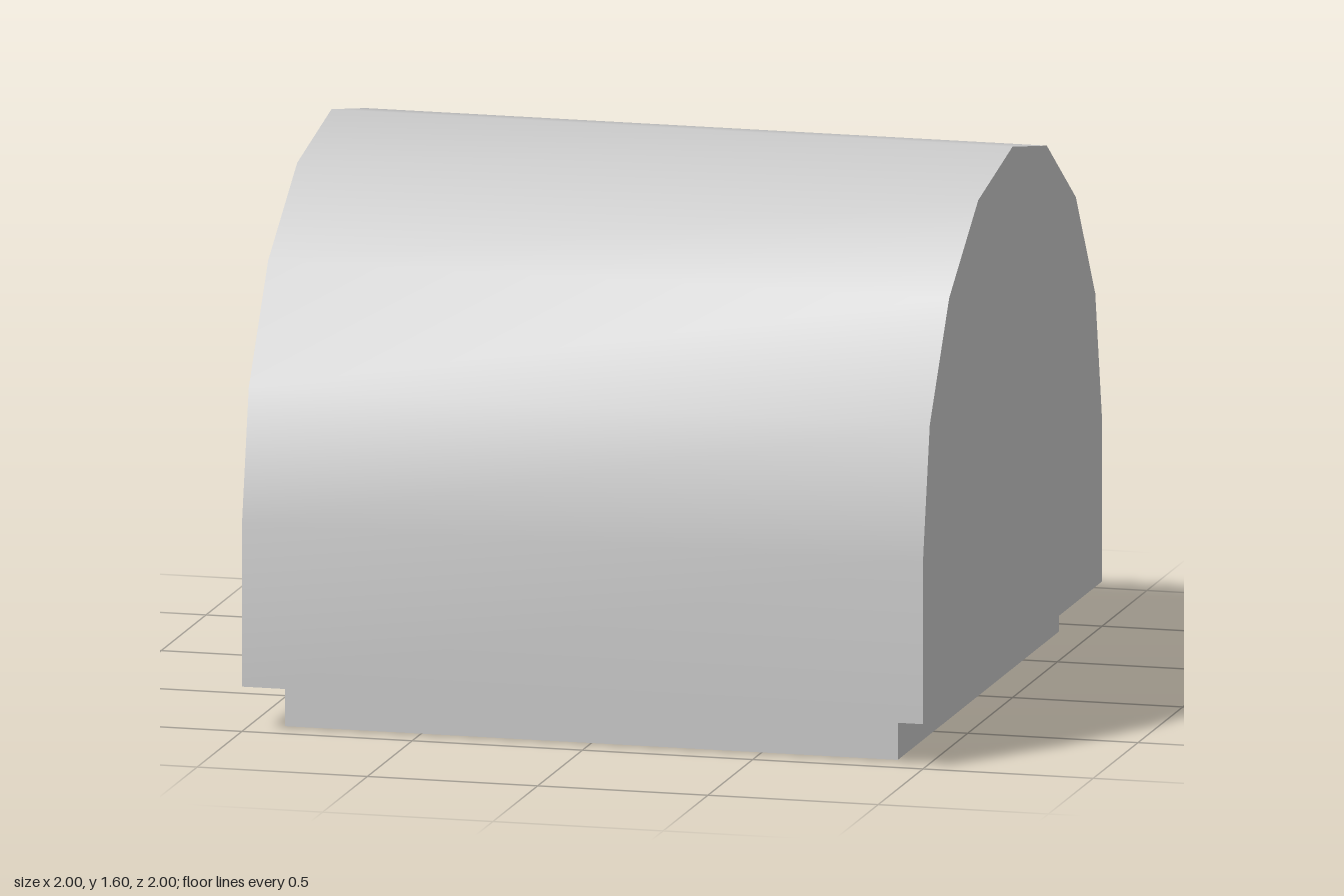
import * as THREE from 'three';
import { toCreasedNormals } from 'three/addons/utils/BufferGeometryUtils.js';

const BASE_HEIGHT = 0.13;
const SPRING_HEIGHT = 0.6; // where the straight walls meet the arch
const ARCH_SEGMENTS = 8;

export function createModel() {
  const group = new THREE.Group();
  const material = new THREE.MeshStandardMaterial({ color: 0xcccccc });

  // Vaulted body: straight walls under a half-round arch, extruded along x
  const profile = new THREE.Shape();
  profile.moveTo(-1, BASE_HEIGHT);
  profile.lineTo(1, BASE_HEIGHT);
  for (let i = 0; i <= ARCH_SEGMENTS; i++) {
    const a = (i / ARCH_SEGMENTS) * Math.PI;
    profile.lineTo(Math.cos(a), SPRING_HEIGHT + Math.sin(a));
  }
  profile.closePath();
  const bodyGeometry = new THREE.ExtrudeGeometry(profile, { depth: 2, bevelEnabled: false });
  bodyGeometry.translate(0, 0, -1).rotateY(Math.PI / 2);
  const body = new THREE.Mesh(toCreasedNormals(bodyGeometry, Math.PI / 6), material);
  body.name = 'vaultedBody';
  group.add(body);

  // Recessed square plinth
  const plinth = new THREE.Mesh(new THREE.BoxGeometry(1.8, BASE_HEIGHT, 1.8), material);
  plinth.name = 'plinth';
  plinth.position.y = BASE_HEIGHT / 2;
  group.add(plinth);

  return group;
}
